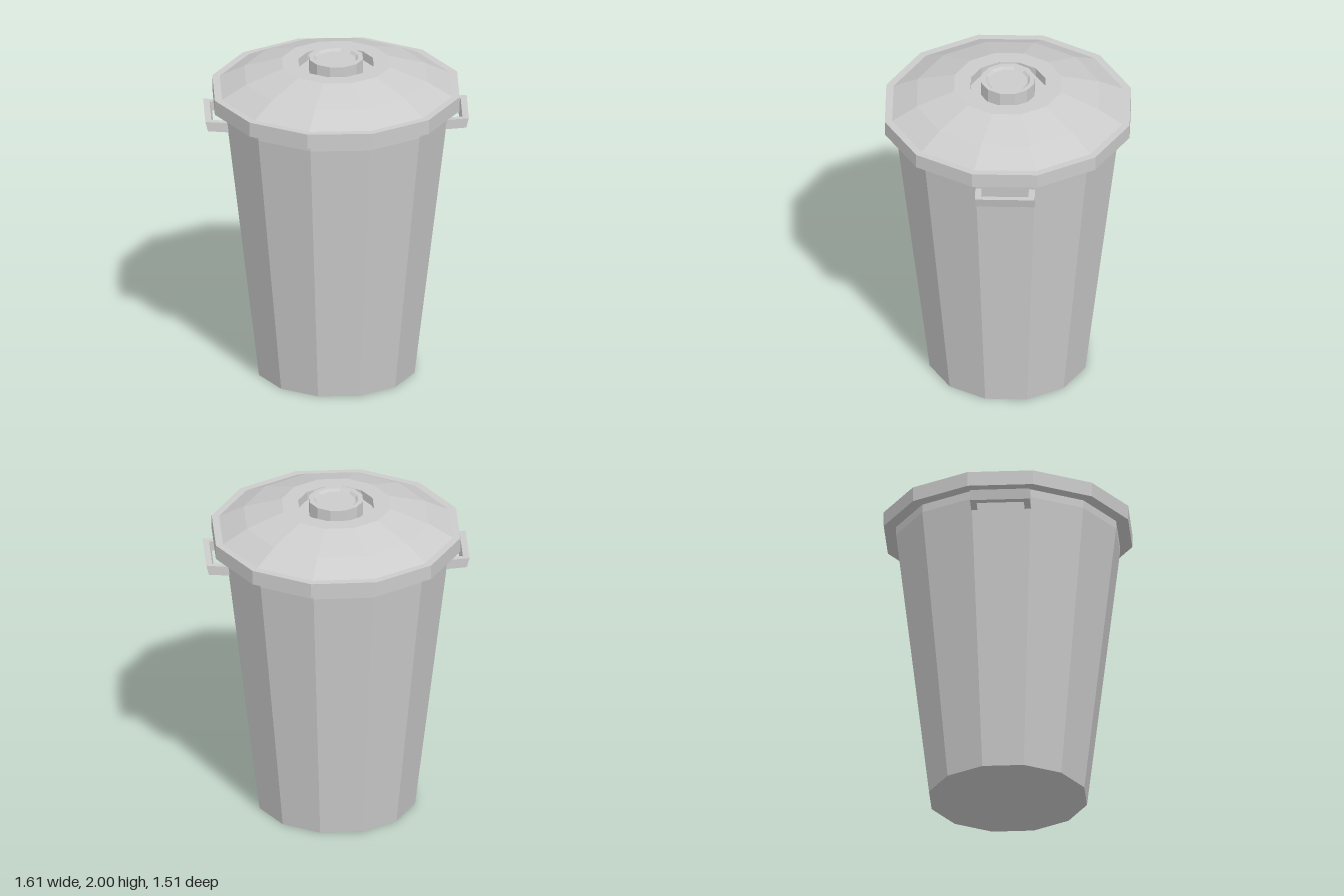
import * as THREE from 'three';

const SIDES = 12;
const material = new THREE.MeshStandardMaterial({ color: 0xcccccc, flatShading: true });

// Faceted part turned around the y axis; profile is [radius, height] pairs
function turned(name, profile) {
  const points = profile.map(([r, y]) => new THREE.Vector2(r, y));
  const mesh = new THREE.Mesh(new THREE.LatheGeometry(points, SIDES), material);
  mesh.name = name;
  return mesh;
}

// U-shaped grip standing out from one flat side of the body
function handleGeometry() {
  const inner = 0.62, outer = 0.785, half = 0.178, bar = 0.037, height = 0.06;
  const shape = new THREE.Shape([
    [inner, -half], [outer, -half], [outer, half], [inner, half],
    [inner, half - bar], [outer - bar, half - bar],
    [outer - bar, -half + bar], [inner, -half + bar],
  ].map(([x, y]) => new THREE.Vector2(x, y)));
  const geometry = new THREE.ExtrudeGeometry(shape, { depth: height, bevelEnabled: false });
  geometry.rotateX(-Math.PI / 2);
  // Tilt the grip up a little and lean its outer face outward
  const p = geometry.attributes.position;
  for (let i = 0; i < p.count; i++) {
    const x = p.getX(i), y = p.getY(i);
    if (y < height / 2 && x > 0.7) p.setX(i, x - 0.015);
    p.setY(i, y + 1.6 + (x - 0.7) * 0.07);
  }
  geometry.computeVertexNormals();
  return geometry;
}

export function createModel() {
  const model = new THREE.Group();
  model.name = 'trashCan';

  // Tapered body with a closed bottom and a short upright lip
  model.add(turned('body', [[0, 0], [0.48, 0], [0.68, 1.67], [0.68, 1.73]]));

  // Lid: overhanging rim, domed top, sunken well around the knob
  model.add(turned('lid', [
    [0.66, 1.72], [0.755, 1.72], [0.755, 1.81], [0.71, 1.81],
    [0.56, 1.89], [0.33, 1.965], [0.23, 1.965], [0.23, 1.91], [0, 1.91],
  ]));

  // Knob with a shallow dished top
  model.add(turned('knob', [
    [0.165, 1.91], [0.165, 2], [0.135, 2], [0.12, 1.985], [0, 1.985],
  ]));

  // Two handles on opposite sides
  const geometry = handleGeometry();
  ['leftHandle', 'rightHandle'].forEach((name, i) => {
    const handle = new THREE.Mesh(geometry, material);
    handle.name = name;
    handle.rotation.y = Math.PI / SIDES + i * Math.PI;
    model.add(handle);
  });

  return model;
}
